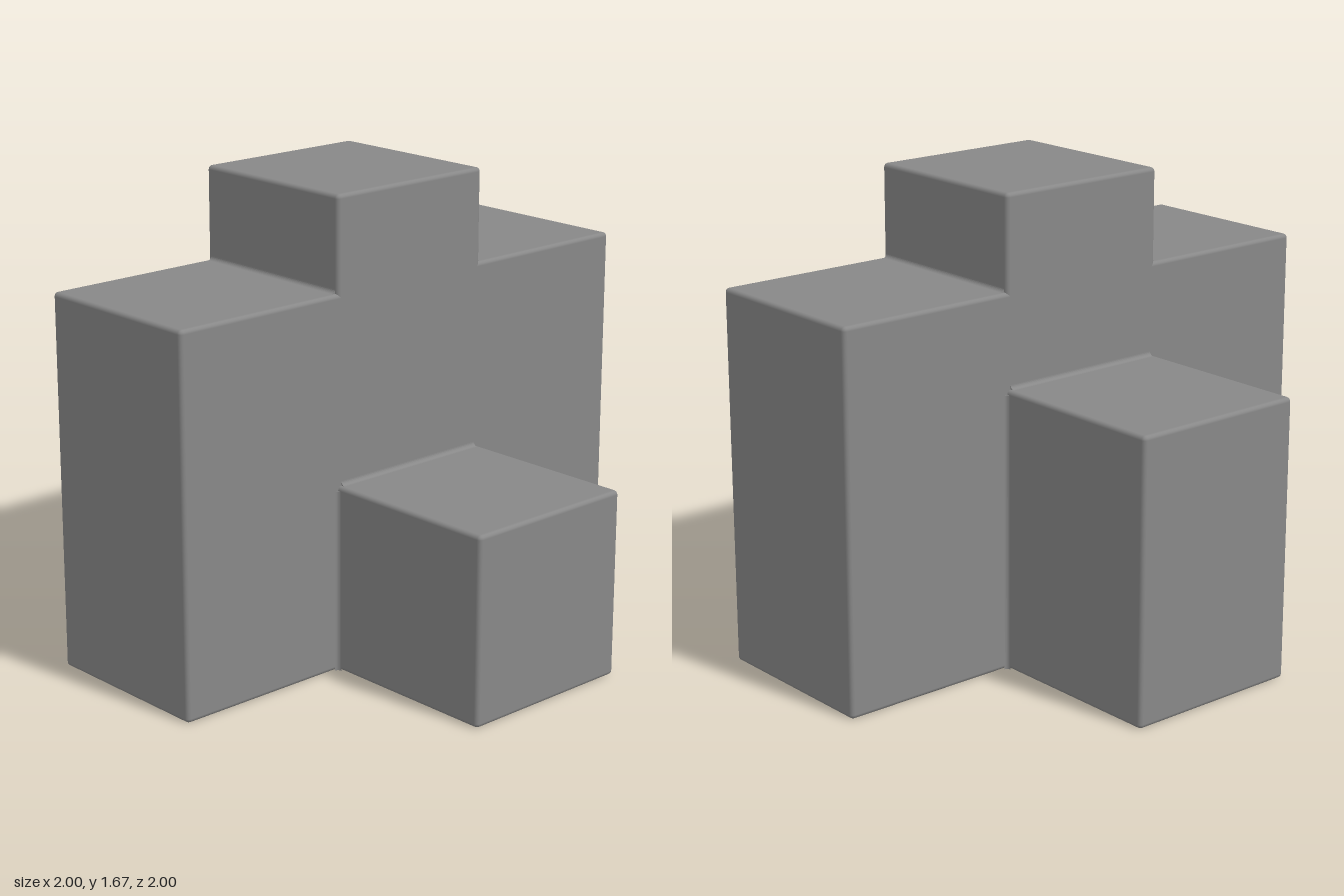
import * as THREE from 'three';
import { RoundedBoxGeometry } from 'three/addons/geometries/RoundedBoxGeometry.js';

const W = 2 / 3;      // width of every block
const H = W / 2;
const R = 0.015;      // edge rounding
const UNIT = 1 / 3;   // height step

const material = new THREE.MeshStandardMaterial({ color: 0x888888 });

export function createModel() {
  const group = new THREE.Group();

  const add = (name, geometry) => {
    const mesh = new THREE.Mesh(geometry, material);
    mesh.name = name;
    group.add(mesh);
    return mesh;
  };

  // Softly rounded block spanning the given ranges
  const block = (name, [x0, x1], [y0, y1], [z0, z1]) =>
    add(name, new RoundedBoxGeometry(x1 - x0, y1 - y0, z1 - z0, 2, R))
      .position.set((x0 + x1) / 2, (y0 + y1) / 2, (z0 + z1) / 2);

  const mid = [-H, H];
  block('centralColumn', mid, [0, 5 * UNIT], mid);
  block('frontAndBackBar', mid, [0, 4 * UNIT], [-1, 1]);
  block('leftArm', [0, 1], [0, 2 * UNIT], mid);
  block('rightArm', [-1, 0], [0, 3 * UNIT], mid);

  // Concave fillet section sitting in an inner corner
  const section = new THREE.Shape();
  section.moveTo(0, 0);
  section.lineTo(R, 0);
  section.absarc(R, R, R, -Math.PI / 2, -Math.PI, true);
  section.lineTo(0, 0);
  const fillet = (length) =>
    new THREE.ExtrudeGeometry(section, { depth: length, bevelEnabled: false, curveSegments: 3 });

  // Arms in turning order: left, back, right, front
  const armHeights = [2, 4, 3, 4].map((n) => n * UNIT);
  // Inner plan corners: back left, back right, front right, front left
  const cornerHeights = [2, 3, 3, 2].map((n) => n * UNIT);

  for (let k = 0; k < 4; k++) {
    const turn = k * Math.PI / 2;
    // Horizontal seam where an arm's top meets the column
    const length = W - 2 * R;
    add('topSeam', fillet(length)
      .translate(H, armHeights[k], -length / 2)
      .rotateY(turn));
    // Vertical seam between neighbouring arms
    add('cornerSeam', fillet(cornerHeights[k] - R)
      .rotateX(-Math.PI / 2)
      .translate(H, 0, -H)
      .rotateY(turn));
  }
  return group;
}
